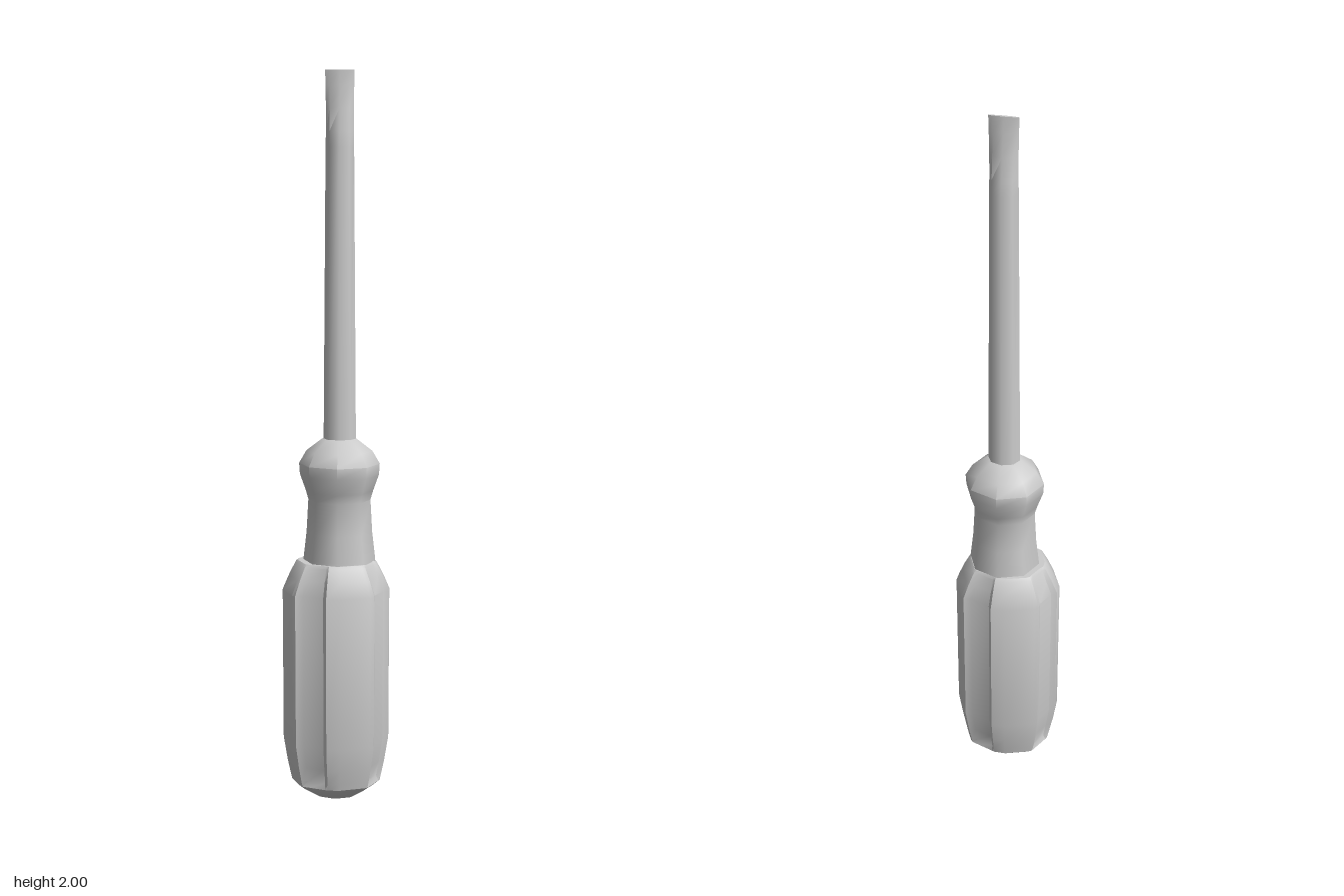
import * as THREE from 'three';
import { toCreasedNormals } from 'three/addons/utils/BufferGeometryUtils.js';

// Skin a stack of rings, each an equal-length list of [x, y, z], and cap both ends.
function loft(rings, crease) {
  const n = rings[0].length;
  const last = (rings.length - 1) * n;
  const pos = rings.flat(2);
  for (const ring of [rings[0], rings[rings.length - 1]]) {
    for (let k = 0; k < 3; k++) pos.push(ring.reduce((s, p) => s + p[k], 0) / n);
  }
  const bottom = last + n, top = bottom + 1, index = [];
  for (let i = 0; i < n; i++) {
    const j = (i + 1) % n;
    for (let r = 0; r < last; r += n) {
      index.push(r + i, r + j, r + n + j, r + i, r + n + j, r + n + i);
    }
    index.push(bottom, j, i, top, last + i, last + j);
  }
  const geometry = new THREE.BufferGeometry();
  geometry.setAttribute('position', new THREE.Float32BufferAttribute(pos, 3));
  geometry.setIndex(index);
  return toCreasedNormals(geometry, crease);
}

// Eight-sided ring with a corner facing front.
function octagon(y, rx, rz, cx) {
  return Array.from({ length: 8 }, (_, i) => {
    const a = (i * Math.PI) / 4;
    return [cx + rx * Math.sin(a), y, rz * Math.cos(a)];
  });
}

// Grip ring: eight blunt ridges, with every second face sunk by "sink" (0 to 1).
function gripRing(y, r, sink) {
  const quarter = [
    [-0.78, 0.68], [-0.72, 0.75],
    [-0.57, 0.815 - 0.065 * sink], [-0.19, 0.975 - 0.08 * sink],
    [-0.13, 1], [0.13, 1],
  ];
  const ring = [];
  for (let q = 0; q < 4; q++) {
    for (let [x, z] of quarter) {
      for (let k = 0; k < q; k++) [x, z] = [z, -x];
      ring.push([x * r * 1.058, y, z * r * 0.95]);
    }
  }
  return ring;
}

export function createModel() {
  const model = new THREE.Group();
  const material = new THREE.MeshStandardMaterial({ color: 0xcccccc });
  const add = (name, geometry) => {
    const mesh = new THREE.Mesh(geometry, material);
    mesh.name = name;
    model.add(mesh);
  };

  // Fluted grip: [height, radius, depth of the sunk faces]
  const grip = [
    [0, 0.012, 0], [0.015, 0.055, 0], [0.045, 0.1, 0], [0.058, 0.115, 0],
    [0.075, 0.119, 1], [0.115, 0.127, 1], [0.18, 0.137, 1],
    [0.6, 0.138, 1], [0.64, 0.122, 1], [0.675, 0.105, 0.6], [0.682, 0.098, 0.3],
  ];
  add('grip', loft(grip.map((g) => gripRing(...g)), 0.5));

  // Waisted neck with a rounded collar: [height, radius]
  const neck = [
    [0.66, 0.1], [0.69, 0.098], [0.76, 0.09], [0.85, 0.085], [0.875, 0.092],
    [0.92, 0.108], [0.95, 0.11], [0.985, 0.09], [1.018, 0.047],
  ];
  add('neck', loft(neck.map(([y, r]) => octagon(y, r, r * 0.94, 0.009)), 0.85));

  // Shaft drawn out into a flat blade: [height, half width, half thickness]
  const shaft = [
    [1.0, 0.044, 0.036], [1.8, 0.038, 0.035], [1.84, 0.037, 0.03],
    [1.9, 0.037, 0.019], [1.96, 0.038, 0.009], [2.0, 0.039, 0.004],
  ];
  add('shaftAndBlade', loft(shaft.map(([y, w, t]) => octagon(y, w, t, 0.01)), 0.85));

  return model;
}
